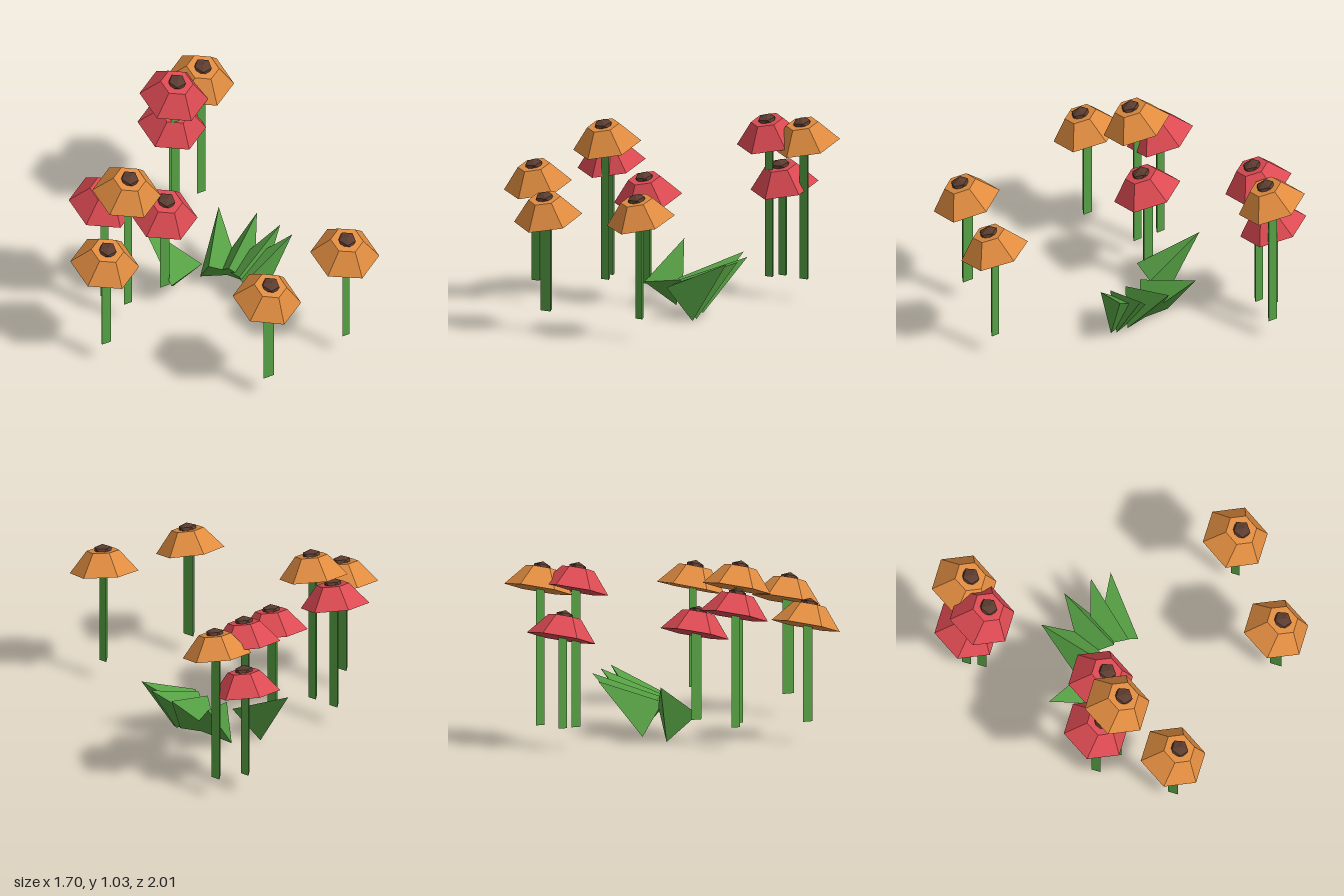
import * as THREE from 'three';

const material = (name, color) => {
  const m = new THREE.MeshStandardMaterial({ color });
  m.name = name;
  return m;
};

// Faceted normals for the low-poly look
function faceted(geometry) {
  const g = geometry.index ? geometry.toNonIndexed() : geometry;
  g.computeVertexNormals();
  return g;
}

function addMesh(parent, name, geometry, mat) {
  const mesh = new THREE.Mesh(geometry, mat);
  mesh.name = name;
  parent.add(mesh);
  return mesh;
}

const RIM = 0.19, CAP_HEIGHT = 0.12, STEM_BASE = 0.131;
const LEAF_LENGTH = 0.37, LEAF_TILT = 0.68;

// x, rim height, z, stem radius, sideways tilt in degrees
const ORANGE = [
  [-0.655, 0.66, 0.53, 0.033, 7.4],
  [-0.532, 0.876, 0.17, 0.03, 8],
  [0.66, 0.677, 0.472, 0.027, 5.6],
  [0.23, 0.647, 0.842, 0.039, 9.5],
  [-0.122, 0.883, -0.838, 0.031, 8],
];
const RED = [
  [-0.66, 0.748, 0.09, 0.03, 8],
  [-0.33, 0.605, 0.012, 0.035, 8],
  [-0.275, 0.63, -0.775, 0.03, 8],
  [-0.265, 0.89, -0.69, 0.03, 8],
];
// Leaf tip x, y, z and heading in degrees away from the back
const LEAVES = [
  [-0.022, 0.327, -0.426, 3],
  [0.187, 0.336, -0.36, 28],
  [0.313, 0.336, -0.248, 48],
  [0.378, 0.34, -0.154, 62.5],
  [-0.443, 0.343, -0.25, -49],
];

export function createModel() {
  const model = new THREE.Group();
  model.name = 'flowerPatch';
  const orange = material('orange petals', 0xe08c40);
  const red = material('red petals', 0xdc4a52);
  const green = material('leaf green', 0x56a044);
  const brown = material('brown centre', 0x5c3c30);

  // Six-sided blossom, widest at the bottom rim
  const capGeo = faceted(
    new THREE.CylinderGeometry(0.09, RIM, CAP_HEIGHT, 6, 1, false, Math.PI / 6)
      .translate(0, CAP_HEIGHT / 2, 0));

  // Squat seed head with one corner pointing up
  const seedGeo = faceted(
    new THREE.IcosahedronGeometry(0.055, 0)
      .rotateX(-Math.atan((1 + Math.sqrt(5)) / 2))
      .scale(1, 0.65, 1)
      .translate(0, CAP_HEIGHT, 0));

  // Three-sided pointed leaf with its tip at the origin
  const leafGeo = faceted(
    new THREE.ConeGeometry(0.135, LEAF_LENGTH, 3, 1, false, THREE.MathUtils.degToRad(100))
      .translate(0, -LEAF_LENGTH / 2, 0));

  function addFlower([x, y, z, stemRadius, sideTilt], petals, name) {
    const flower = new THREE.Group();
    flower.name = name;
    model.add(flower);

    // Three-sided stem
    const height = y + 0.04 - STEM_BASE;
    const stemGeo = faceted(
      new THREE.CylinderGeometry(stemRadius, stemRadius, height, 3, 1, false, Math.PI / 2));
    addMesh(flower, 'stem', stemGeo, green).position.set(x, STEM_BASE + height / 2, z + 0.004);

    // Blossom leaning forward and sideways
    const blossom = new THREE.Group();
    blossom.name = 'blossom';
    blossom.position.set(x, y, z);
    blossom.rotation.set(
      THREE.MathUtils.degToRad(15), 0, -THREE.MathUtils.degToRad(sideTilt));
    addMesh(blossom, 'petals', capGeo, petals);
    addMesh(blossom, 'seedHead', seedGeo, brown);
    flower.add(blossom);
  }

  ORANGE.forEach((f) => addFlower(f, orange, 'orangeFlower'));
  RED.forEach((f) => addFlower(f, red, 'redFlower'));

  // Leaves fan out towards the back
  const up = new THREE.Vector3(0, 1, 0);
  for (const [x, y, z, heading] of LEAVES) {
    const a = THREE.MathUtils.degToRad(heading);
    const c = Math.cos(LEAF_TILT);
    const dir = new THREE.Vector3(Math.sin(a) * c, Math.sin(LEAF_TILT), -Math.cos(a) * c);
    const leaf = addMesh(model, 'leaf', leafGeo, green);
    leaf.position.set(x, y, z);
    leaf.quaternion.setFromUnitVectors(up, dir);
  }

  return model;
}
